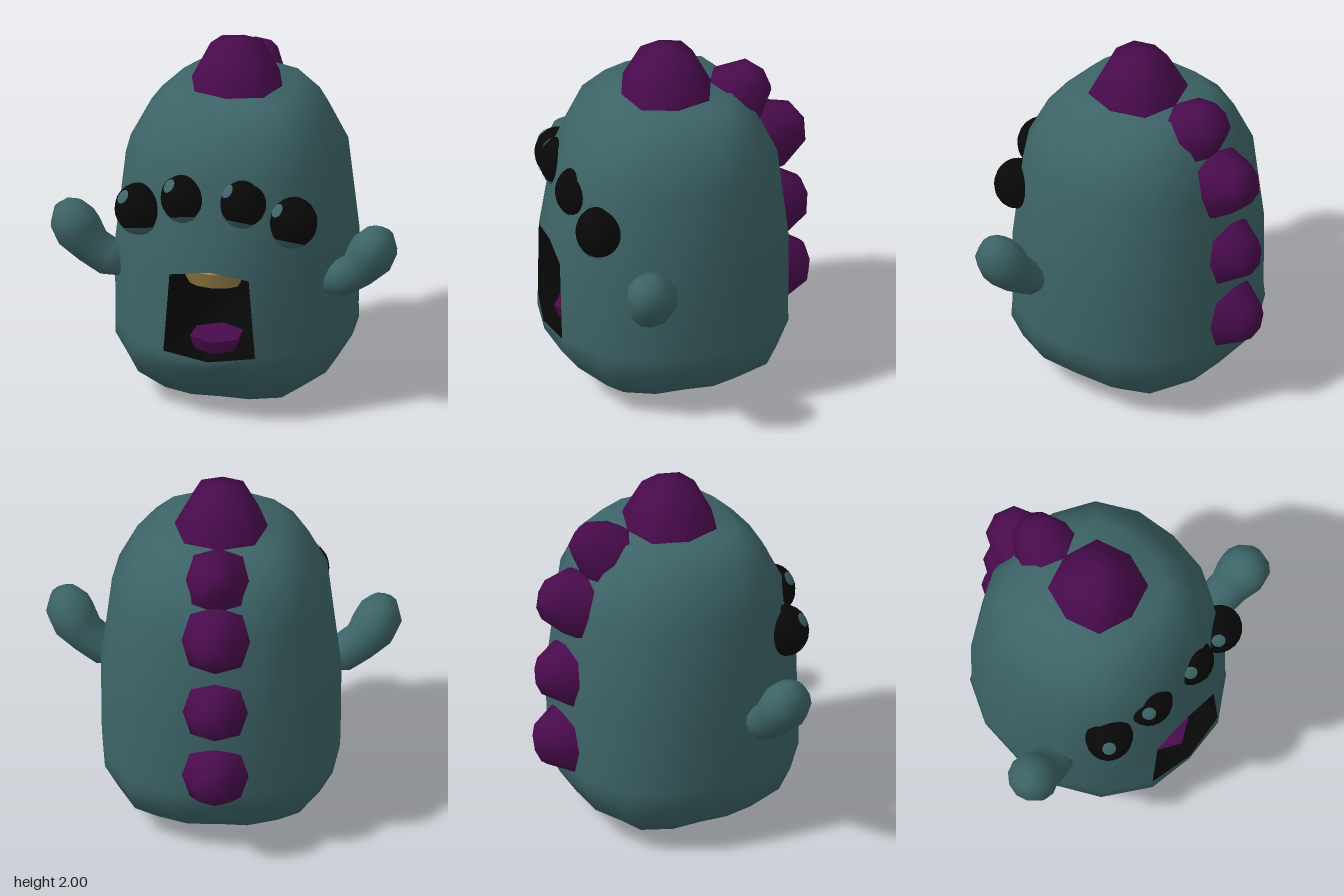
import * as THREE from 'three';
import { mergeVertices } from 'three/addons/utils/BufferGeometryUtils.js';

const mat = (name, color) => Object.assign(new THREE.MeshStandardMaterial({ color }), { name });
const teal = mat('teal skin', 0x3d6467);
const purple = mat('purple spikes', 0x490b4d);
const black = mat('black', 0x080808);
black.side = THREE.DoubleSide;
const beige = mat('beige tooth', 0x9c854a);

// Skin a stack of closed rings; skip(j, i) leaves a hole
function loft(rings, skip = () => false) {
  const n = rings[0].length, index = [];
  for (let j = 0; j < rings.length - 1; j++) {
    for (let i = 0; i < n; i++) {
      if (skip(j, i)) continue;
      const k = (i + 1) % n, a = j * n + i, b = j * n + k;
      index.push(a, b, b + n, a, b + n, a + n);
    }
  }
  let g = new THREE.BufferGeometry().setFromPoints(rings.flat());
  g.setIndex(index);
  g = mergeVertices(g);
  g.computeVertexNormals();
  return g;
}

// Level ring whose four diagonal corners bulge out by the given factor
const squareRing = (n, y, r, corner) => Array.from({ length: n }, (_, i) => {
  const a = i / n * Math.PI * 2;
  const q = r * (1 + (corner - 1) * Math.sin(2 * a) ** 2);
  return new THREE.Vector3(q * Math.sin(a), y, q * Math.cos(a));
});

export function createModel() {
  const model = new THREE.Group();
  const add = (name, geometry, material, parent = model) => {
    const m = new THREE.Mesh(geometry, material);
    m.name = name;
    parent.add(m);
    return m;
  };

  // Body: rings of [height, radius, corner bulge], with a mouth opening
  const N = 16, LOW = 4, HIGH = 5;
  const profile = [[0.005, 0, 1], [0.05, 0.38, 1.2], [0.18, 0.555, 1.13], [0.32, 0.64, 1.08],
    [0.4, 0.645, 1.06], [0.85, 0.65, 1.055], [1.37, 0.59, 1.06], [1.59, 0.475, 1.1],
    [1.73, 0.325, 1.18], [1.745, 0, 1]];
  const rings = profile.map(([y, r, corner]) => squareRing(N, y, r, corner));
  rings.flat().forEach(p => { p.z += 0.055; });
  // Flatten the face around the mouth and push the lower lip out
  for (const j of [3, LOW, HIGH]) {
    for (const i of [1, N - 1]) rings[j][i].z += 0.035;
  }
  rings[3][0].z += 0.04;
  rings[LOW][0].z += 0.04;
  rings[LOW][0].y -= 0.03;
  rings[HIGH][0].y += 0.03;
  for (const i of [1, N - 1]) rings[HIGH][i].x *= 0.86;
  add('body', loft(rings, (j, i) => j === LOW && (i === 0 || i === N - 1)), teal);

  // Mouth cavity: the opening's edge drawn back to a smaller rear wall
  const edge = [[LOW, N - 1], [LOW, 0], [LOW, 1], [HIGH, 1], [HIGH, 0], [HIGH, N - 1]].map(([j, i]) => rings[j][i]);
  const back = edge.map(p => new THREE.Vector3(p.x * 0.8, 0.625 + (p.y - 0.625) * 0.92, 0.22));
  const centre = back.map(() => new THREE.Vector3(0, 0.625, 0.22));
  add('mouthCavity', loft([edge, back, centre]), black);

  // Upper tooth plate and tongue
  const tooth = add('upperTooth', new THREE.CylinderGeometry(0.19, 0.14, 0.09, 10), beige);
  tooth.position.set(0, 0.815, 0.575);
  tooth.scale.z = 0.6;
  const tongue = add('tongue', new THREE.CylinderGeometry(0.15, 0.125, 0.075, 6), purple);
  tongue.position.set(0, 0.422, 0.53);

  // Arms: curved tapering limbs, rows of [x, y, z, radius]
  const arm = [[0.55, 0.745, 0.32, 0], [0.562, 0.74, 0.32, 0.08], [0.645, 0.758, 0.32, 0.103],
    [0.735, 0.82, 0.335, 0.105], [0.807, 0.91, 0.35, 0.13], [0.843, 0.985, 0.36, 0.125],
    [0.86, 1.06, 0.365, 0.08], [0.865, 1.1, 0.365, 0]];
  for (const [side, s] of [['left', 1], ['right', -1]]) {
    const pts = arm.map(([x, y, z]) => new THREE.Vector3(x * s, y, z));
    const zAxis = new THREE.Vector3(0, 0, 1);
    const armRings = pts.map((p, j) => {
      const t = pts[Math.min(j + 1, pts.length - 1)].clone().sub(pts[Math.max(j - 1, 0)]).setZ(0).normalize();
      const n = zAxis.clone().cross(t);
      return Array.from({ length: 12 }, (_, i) => {
        const u = i / 12 * Math.PI * 2, r = arm[j][3];
        return p.clone().addScaledVector(n, r * Math.cos(u)).addScaledVector(zAxis, r * Math.sin(u) * 1.08);
      });
    });
    add(side + 'Arm', loft(armRings), teal);
  }

  // Eyes: dark balls with a glint and a lower lid patch
  const up = new THREE.Vector3(0, 1, 0);
  const patch = (name, parent, dir, angle) => {
    const cap = add(name, new THREE.SphereGeometry(0.136, 20, 5, 0, Math.PI * 2, 0, angle), teal, parent);
    cap.quaternion.setFromUnitVectors(up, new THREE.Vector3(...dir).normalize());
  };
  for (const s of [-1, 1]) {
    for (const [name, x, y, z] of [['innerEye', 0.162, 1.258, 0.59], ['outerEye', 0.428, 1.152, 0.546]]) {
      const eye = new THREE.Group();
      eye.name = (s > 0 ? 'left' : 'right') + name[0].toUpperCase() + name.slice(1);
      eye.position.set(x * s, y, z);
      eye.scale.set(1, 1.07, 0.95);
      add('eyeball', new THREE.SphereGeometry(0.132, 20, 14), black, eye);
      patch('glint', eye, [-0.55, 0.62, 0.55], 0.29);
      patch('lowerLid', eye, [-s * 0.1, -0.92, 0.34], 0.72);
      model.add(eye);
    }
  }

  // Spikes: blunt eight-sided domes, [y, z, outward y, outward z, radius, height]
  const spikes = [[1.73, 0.055, 1, 0, 0.25, 0.27], [1.63, -0.335, 0.66, -0.75, 0.175, 0.205],
    [1.36, -0.51, 0.3, -0.95, 0.185, 0.215], [0.935, -0.565, 0.06, -1, 0.175, 0.17],
    [0.53, -0.565, -0.03, -1, 0.18, 0.182]];
  spikes.forEach(([y, z, dy, dz, r, h], i) => {
    const dome = [[-0.06, r], [0.015, r], [h * 0.81, r * 0.59], [h, 0]];
    const spike = add(i ? 'backSpike' + i : 'headSpike', loft(dome.map(([v, q]) => squareRing(8, v, q, 1.08))), purple);
    spike.position.set(0, y, z);
    spike.quaternion.setFromUnitVectors(up, new THREE.Vector3(0, dy, dz).normalize());
  });

  return model;
}
